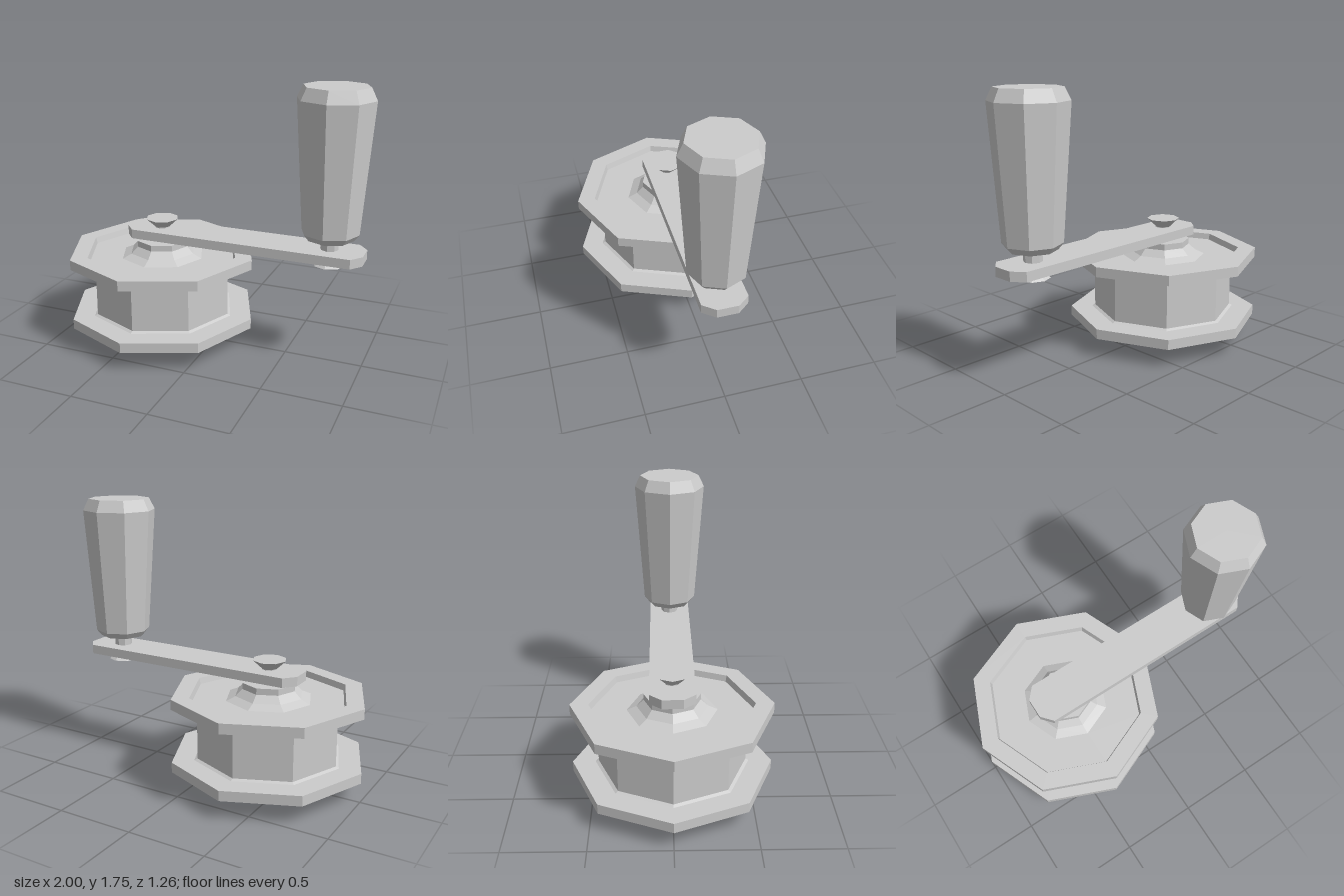
import * as THREE from 'three';

const grey = new THREE.MeshStandardMaterial({ color: 0xcccccc, flatShading: true });

// Eight-sided turned part; profile is [radius, y], listed from bottom to top
function turned(name, x, profile) {
  const points = profile.map(([r, y]) => new THREE.Vector2(r, y));
  const mesh = new THREE.Mesh(new THREE.LatheGeometry(points, 8), grey);
  mesh.name = name;
  mesh.position.x = x;
  return mesh;
}

export function createModel() {
  const model = new THREE.Group();
  model.name = 'crankReel';
  const spoolX = -0.37, handleX = 0.76;

  // Spool: recessed flanges around a drum, with a boss on each side
  model.add(turned('spool', spoolX, [
    [0, 0.135], [0.2, 0.135], [0.21, 0.165], [0.505, 0.165], [0.515, 0.125],
    [0.63, 0.125], [0.63, 0.19], [0.485, 0.19], [0.465, 0.2],
    [0.465, 0.53], [0.485, 0.54], [0.63, 0.54], [0.63, 0.605],
    [0.515, 0.605], [0.505, 0.565], [0.28, 0.565], [0.22, 0.592],
    [0.175, 0.635], [0.175, 0.675], [0, 0.675],
  ]));

  // Axle with a flared foot and a flared head above the arm
  model.add(turned('axle', spoolX, [
    [0, 0], [0.12, 0], [0.09, 0.04], [0.09, 0.7],
    [0.05, 0.7], [0.05, 0.76], [0.108, 0.815], [0, 0.815],
  ]));

  // Crank arm: flat bar with clipped corners
  const outline = [
    [-0.59, -0.065], [-0.525, -0.14], [0.92, -0.14], [0.98, -0.065],
    [0.98, 0.065], [0.92, 0.14], [-0.525, 0.14], [-0.59, 0.065],
  ].map(([x, z]) => new THREE.Vector2(x, z));
  const armGeometry = new THREE.ExtrudeGeometry(new THREE.Shape(outline), { depth: 0.06, bevelEnabled: false });
  armGeometry.rotateX(-Math.PI / 2);
  const arm = new THREE.Mesh(armGeometry, grey);
  arm.name = 'crankArm';
  arm.position.y = 0.695;
  model.add(arm);

  // Handle pin, flared under the arm
  model.add(turned('handlePin', handleX, [
    [0, 0.655], [0.1, 0.655], [0.057, 0.69], [0.057, 0.84],
  ]));

  // Tapered grip with bevelled ends
  model.add(turned('handleGrip', handleX, [
    [0, 0.825], [0.148, 0.825], [0.18, 0.865], [0.237, 1.675], [0.2, 1.75], [0, 1.75],
  ]));

  return model;
}
